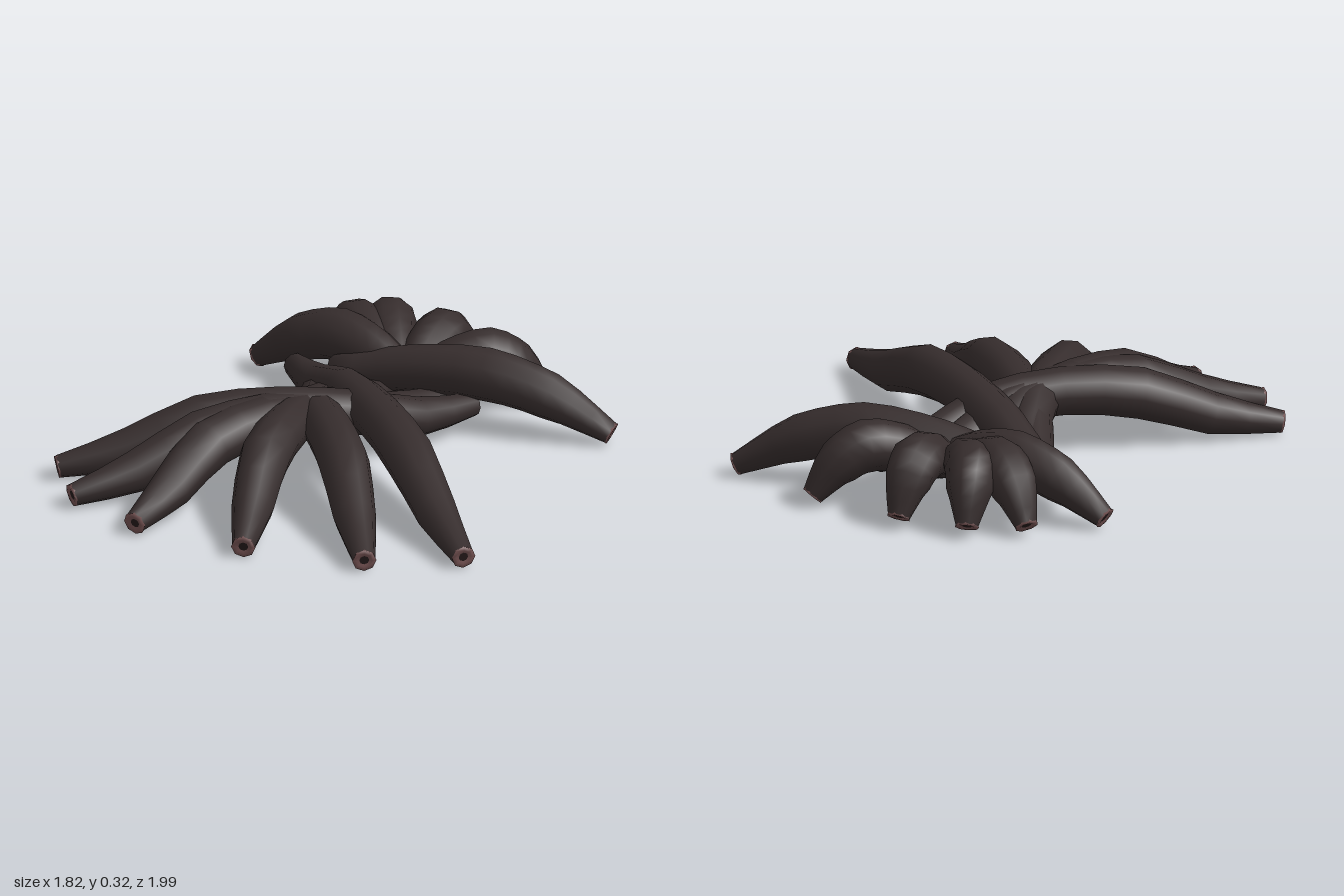
import * as THREE from 'three';

const SIDES = 10, STEPS = 12;
const skin = new THREE.MeshStandardMaterial({ color: 0x362d2d, side: THREE.DoubleSide });
skin.name = 'dark skin';
const rimMat = new THREE.MeshStandardMaterial({ color: 0x745252, side: THREE.DoubleSide });
rimMat.name = 'reddish rim';
const holeMat = new THREE.MeshStandardMaterial({ color: 0x241a1a });
holeMat.name = 'dark opening';

// Heights and radii shared by every tentacle of a cluster, from base to tip
const frontCluster = {
  name: 'frontTentacle',
  heights: [0.11, 0.13, 0.21, 0.242, 0.215, 0.115, 0.06],
  radii: [0.045, 0.077, 0.086, 0.092, 0.098, 0.081, 0.043],
  // Plan paths: base, crossing, bulge and tip as [x, z]
  plans: [
    [[0.25, -0.53], [0.02, -0.05], [-0.45, 0.32], [-0.88, 0.65]],
    [[0.11, -0.53], [-0.06, -0.02], [-0.38, 0.45], [-0.7, 0.86]],
    [[-0.12, -0.53], [-0.11, 0], [-0.31, 0.5], [-0.365, 0.975]],
    [[-0.31, -0.5], [-0.15, 0.01], [-0.07, 0.5], [0.1, 0.97]],
    [[-0.38, -0.48], [-0.12, 0.02], [0.22, 0.41], [0.56, 0.86]],
    [[-0.52, -0.53], [-0.12, -0.21], [0.4, 0.23], [0.87, 0.65]],
  ],
};
const backCluster = {
  name: 'backTentacle',
  heights: [0.14, 0.21, 0.235, 0.18, 0.06],
  radii: [0.065, 0.09, 0.102, 0.09, 0.043],
  // Plan paths: base, bulge and tip as [x, z]
  plans: [
    [[0.0, -0.52], [-0.36, -0.61], [-0.74, -0.645]],
    [[-0.1, -0.52], [-0.35, -0.72], [-0.51, -0.85]],
    [[-0.06, -0.51], [-0.26, -0.8], [-0.31, -0.95]],
    [[-0.02, -0.51], [-0.035, -0.8], [-0.03, -0.955]],
    [[-0.02, -0.52], [0.21, -0.72], [0.37, -0.855]],
    [[-0.32, -0.48], [0.3, -0.55], [0.78, -0.645]],
  ],
};

// Lift a plan path to the heights of its cluster
function makePath(plan, heights) {
  const flat = new THREE.CatmullRomCurve3(plan.map(([x, z]) => new THREE.Vector3(x, 0, z)));
  return new THREE.CatmullRomCurve3(heights.map((y, i) => flat.getPoint(i / (heights.length - 1)).setY(y)));
}

// Sweep tapering rings along the path and close the base
function sweep(curve, radii) {
  const pos = [], index = [], up = new THREE.Vector3(0, 1, 0), last = radii.length - 1;
  for (let i = 0; i <= STEPS; i++) {
    const u = i / STEPS, k = Math.min(Math.floor(u * last), last - 1);
    const r = THREE.MathUtils.lerp(radii[k], radii[k + 1], u * last - k);
    const c = curve.getPoint(u), t = curve.getTangent(u);
    const side = new THREE.Vector3().crossVectors(up, t).normalize();
    const n = new THREE.Vector3().crossVectors(t, side);
    for (let j = 0; j < SIDES; j++) {
      const a = j / SIDES * Math.PI * 2;
      const p = c.clone().addScaledVector(side, r * Math.cos(a)).addScaledVector(n, r * Math.sin(a));
      pos.push(p.x, p.y, p.z);
      if (i < STEPS) {
        const q = i * SIDES + j, s = i * SIDES + (j + 1) % SIDES;
        index.push(q, s, s + SIDES, q, s + SIDES, q + SIDES);
      }
    }
  }
  for (let j = 1; j < SIDES - 1; j++) index.push(0, j + 1, j);
  const g = new THREE.BufferGeometry();
  g.setAttribute('position', new THREE.Float32BufferAttribute(pos, 3));
  g.setIndex(index);
  g.computeVertexNormals();
  return g;
}

// Flared collar with a small dark opening at the tip
function makeTip(curve) {
  const tip = new THREE.Group();
  tip.name = 'tip';
  const profile = [[0.042, -0.008], [0.046, 0.005], [0.03, 0.005], [0.016, 0]];
  const collar = new THREE.LatheGeometry(profile.map(([r, h]) => new THREE.Vector2(r, h)), 8);
  collar.rotateX(Math.PI / 2);
  const rim = new THREE.Mesh(collar, rimMat);
  rim.name = 'tipRim';
  const hole = new THREE.Mesh(new THREE.CircleGeometry(0.019, 8), holeMat);
  hole.name = 'tipOpening';
  hole.position.z = 0.001;
  tip.add(rim, hole);
  tip.position.copy(curve.getPoint(1));
  tip.lookAt(curve.getPoint(1).add(curve.getTangent(1)));
  return tip;
}

function makeCluster({ name, heights, radii, plans }) {
  const cluster = new THREE.Group();
  cluster.name = name + 's';
  plans.forEach((plan, i) => {
    const tentacle = new THREE.Group();
    tentacle.name = name + (i + 1);
    const curve = makePath(plan, heights);
    const body = new THREE.Mesh(sweep(curve, radii), skin);
    body.name = name + 'Body';
    tentacle.add(body, makeTip(curve));
    cluster.add(tentacle);
  });
  return cluster;
}

export function createModel() {
  const model = new THREE.Group();
  model.name = 'tentacleClusters';
  model.add(makeCluster(frontCluster), makeCluster(backCluster));
  return model;
}
